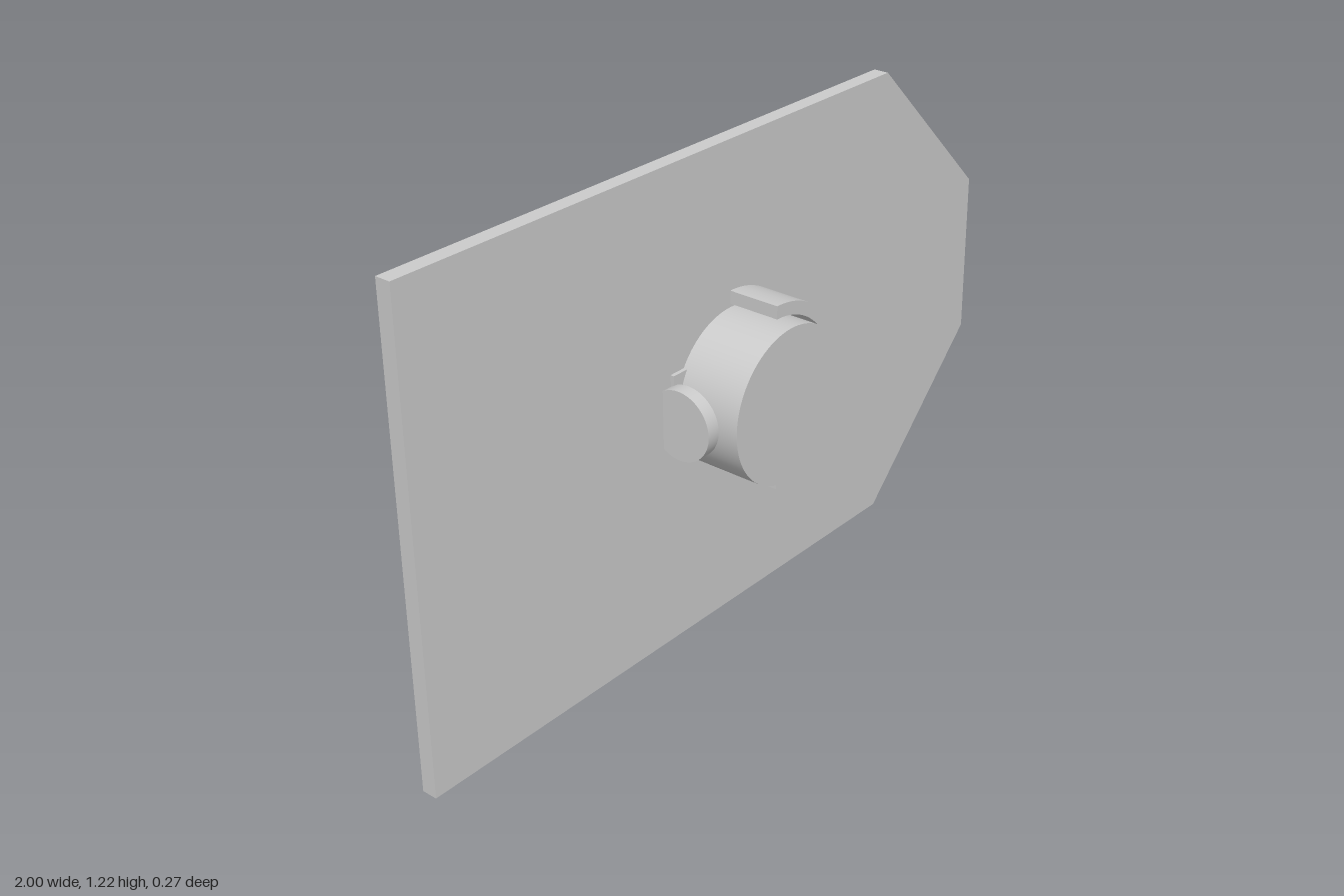
import * as THREE from 'three';

const CY = 0.608; // height of the shared centre line

export function createModel() {
  const model = new THREE.Group();
  const mat = new THREE.MeshStandardMaterial({ color: 0xcccccc });

  const add = (name, geometry, x = 0, y = 0, z = 0) => {
    const mesh = new THREE.Mesh(geometry, mat);
    mesh.name = name;
    mesh.position.set(x, y, z);
    model.add(mesh);
    return mesh;
  };
  const extrude = (shape, depth) =>
    new THREE.ExtrudeGeometry(shape, { depth, bevelEnabled: false, curveSegments: 48 });
  // Box given by its limits along each axis
  const box = (name, x0, x1, y0, y1, z0, z1) =>
    add(name, new THREE.BoxGeometry(x1 - x0, y1 - y0, z1 - z0), (x0 + x1) / 2, (y0 + y1) / 2, (z0 + z1) / 2);

  // Large panel with two cut corners
  const outline = [[-1, 0], [0.605, 0], [1, 0.395], [1, 0.822], [0.605, 1.216], [-1, 1.216]];
  const panel = new THREE.Shape(outline.map(([x, y]) => new THREE.Vector2(x, y)));
  add('panel', extrude(panel, 0.04), 0, 0, -0.082);

  // Round body on the front
  const body = new THREE.CylinderGeometry(0.197, 0.197, 0.18, 96).rotateX(Math.PI / 2);
  add('roundBody', body, 0, CY, 0.048);

  // Half collar around the +x side of the body
  const collar = new THREE.Shape();
  collar.absarc(0, 0, 0.239, -Math.PI / 2, Math.PI / 2, false);
  collar.absarc(0, 0, 0.206, Math.PI / 2, -Math.PI / 2, true);
  add('halfCollar', extrude(collar, 0.139), 0, CY, -0.043);

  // Side discs, facing sideways
  for (const [name, x0, x1] of [['leftDisc', 0.2, 0.238], ['rightDisc', -0.241, -0.206]]) {
    const disc = new THREE.CylinderGeometry(0.088, 0.088, x1 - x0, 64).rotateZ(Math.PI / 2);
    add(name, disc, (x0 + x1) / 2, CY, 0.005);
  }

  // Thin backing behind the right disc
  box('discBacking', -0.213, -0.15, 0.504, 0.712, -0.05, -0.032);

  // Thin mounting plate with four screw holes on the back
  const plate = new THREE.Shape();
  plate.moveTo(-0.355, -0.143).lineTo(0.355, -0.143).lineTo(0.355, 0.143).lineTo(-0.355, 0.143).closePath();
  for (const x of [-0.323, 0.323]) {
    for (const y of [-0.114, 0.114]) {
      const hole = new THREE.Path();
      hole.absarc(x, y, 0.009, 0, Math.PI * 2, true);
      plate.holes.push(hole);
    }
  }
  add('mountingPlate', extrude(plate, 0.006), 0, CY, -0.088);

  // Rear housing with its raised cover
  box('rearHousing', -0.233, 0.23, 0.412, 0.804, -0.126, -0.08);
  box('rearCover', -0.215, 0.213, 0.5, 0.717, -0.137, -0.12);

  return model;
}
